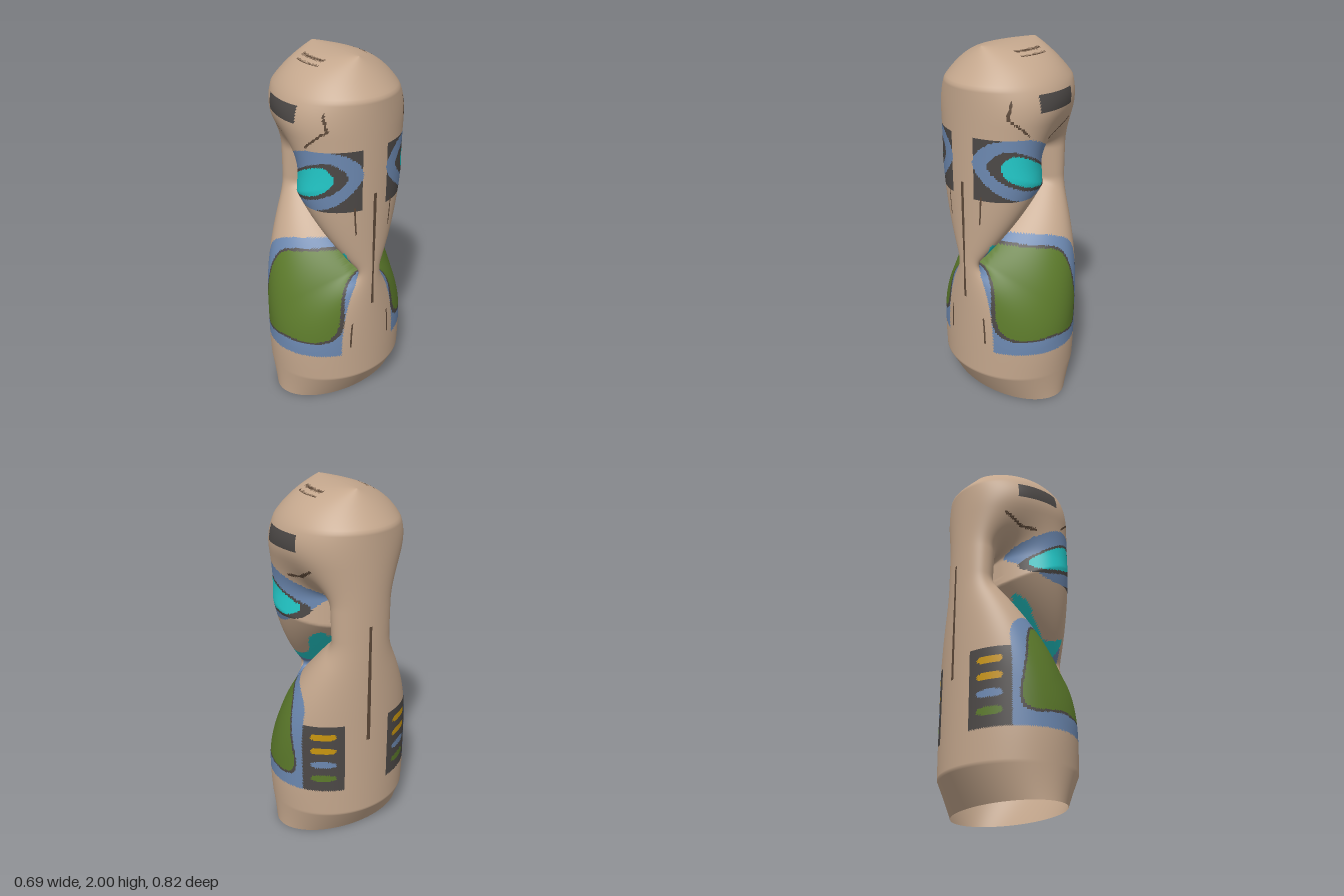
import * as THREE from 'three';

const COLS = 240, ROWS = 170, CAP_ROWS = 36, SLIT_HALF = 0.015;
const { clamp, smoothstep } = THREE.MathUtils;

// Half width: straight flanks, chamfered at foot and crown
const widthAt = (y) => Math.min(0.345, 0.24 + y * 0.6, 0.195 + (2 - y) * 0.87);

// Half depth: slight taper upwards, then an elliptical crown
const depthAt = (y) => y > 1.65
  ? 0.37 * Math.sqrt(Math.max(0, 1 - ((y - 1.65) / 0.35) ** 2))
  : 0.395 + 0.015 * smoothstep(y, 0, 0.35) - 0.04 * smoothstep(y, 0.7, 1.65);

// Bent slit that passes through the body
const bend = new THREE.Vector2(-0.13, 1.24);
const slitEnds = [new THREE.Vector2(-0.12, 1.41), new THREE.Vector2(0.26, 0.85)];
function nearestOnSlit(x, y) {
  const p = new THREE.Vector2(x, y);
  const [q1, q2] = slitEnds.map((end) => {
    const arm = end.clone().sub(bend);
    const t = clamp(p.clone().sub(bend).dot(arm) / arm.lengthSq(), 0, 1);
    return bend.clone().addScaledVector(arm, t);
  });
  const q = q1.distanceTo(p) < q2.distanceTo(p) ? q1 : q2;
  return { q, d: q.distanceTo(p) };
}

// The body swells away from the slit
const swell = (d) => Math.sqrt(1 - (1 - clamp((d - SLIT_HALF) / 0.48, 0, 1)) ** 2);

// Tests for painted regions, as seen from the front
const rect = (x0, x1, y0, y1) => (x, y) => x > x0 && x < x1 && y > y0 && y < y1;
const oval = (cx, cy, rx, ry, n) => (x, y) =>
  Math.abs((x - cx) / rx) ** n + Math.abs((y - cy) / ry) ** n < 1;
const stroke = (x0, y0, x1, y1, w) => (x, y) => {
  const dx = x1 - x0, dy = y1 - y0;
  const t = clamp(((x - x0) * dx + (y - y0) * dy) / (dx * dx + dy * dy), 0, 1);
  return Math.hypot(x - x0 - t * dx, y - y0 - t * dy) < w;
};
// Closed smooth outline, optionally enlarged about a centre
function outline(points, scale = 1, cx = 0, cy = 0) {
  const v = points.map(([x, y]) => new THREE.Vector3(cx + (x - cx) * scale, cy + (y - cy) * scale, 0));
  const poly = new THREE.CatmullRomCurve3(v, true).getPoints(48);
  return (x, y) => {
    let hit = false;
    poly.forEach((a, i) => {
      const b = poly[(i + 1) % poly.length];
      if ((a.y > y) !== (b.y > y) && x < (b.x - a.x) * (y - a.y) / (b.y - a.y) + a.x) hit = !hit;
    });
    return hit;
  };
}

const lens = [[-0.012, 1.36], [0.06, 1.42], [0.24, 1.5], [0.28, 1.44], [0.25, 1.37], [0.13, 1.32], [0.02, 1.32]];
const eyeFrame = [[-0.09, 1.43], [0.06, 1.54], [0.2, 1.585], [0.31, 1.56], [0.338, 1.43], [0.29, 1.3], [0.17, 1.25], [0.03, 1.29]];
const plate = [[-0.14, 0.45], [-0.13, 0.7], [-0.07, 0.89], [0.05, 0.92], [0.2, 0.915], [0.265, 0.78], [0.275, 0.46], [0.06, 0.445]];
const lining = [[-0.04, 1.2], [0.02, 1.165], [0.2, 0.97], [0.28, 0.985], [0.235, 0.875]];

// Belly frame: square below, rounded shoulder at the upper left
const bellyFrame = (x, y) => rect(-0.2, 0.31, 0.345, 0.8)(x, y)
  || (y >= 0.8 && x < 0.305 - (y - 0.8) * 0.15 && oval(0.07, 0.8, 0.27, 0.185, 2.6)(x, y));

// Narrow seam down each flank
const flankSeam = (x, y) => y > 0.65 && y < 1.33 && Math.abs(x) / widthAt(y) > 0.9997;

// Name, colour and test; later regions lie over earlier ones
const regions = [
  ['bodyShell', 'tan', () => true],
  ['eyeSurround', 'charcoal', (x, y) => rect(0.12, 0.338, 1.25, 1.58)(x, y) && (y < 1.33 || x > 0.2)],
  ['eyeFrame', 'slateBlue', outline(eyeFrame)],
  ['eyeRim', 'charcoal', outline(lens, 1.25, 0.14, 1.405)],
  ['eyeLens', 'teal', outline(lens)],
  ['buttonPanel', 'charcoal', rect(-0.325, -0.19, 0.345, 0.77)],
  ['bellyFrame', 'slateBlue', bellyFrame],
  ['bellyRim', 'charcoal', outline(plate, 1.055, 0.07, 0.67)],
  ['bellyPlate', 'olive', outline(plate)],
  ['slitLining', 'teal', outline(lining)],
  ['headVent', 'charcoal', rect(-0.13, 0.12, 1.71, 1.8)],
  ['browSeam', 'brown', stroke(-0.18, 1.615, -0.08, 1.56, 0.007)],
  ['browSeam', 'brown', stroke(-0.08, 1.56, 0, 1.55, 0.007)],
  ['cheekSeam', 'brown', stroke(0.24, 1.77, 0.26, 1.69, 0.005)],
  ['cheekSeam', 'brown', stroke(0.26, 1.69, 0.17, 1.6, 0.005)],
  ['flankSeam', 'brown', flankSeam],
];
// Row of four buttons
['olive', 'slateBlue', 'amber', 'amber'].forEach((colour, i) =>
  regions.push([`${colour}Button`, colour, oval(-0.272, 0.43 + i * 0.09, 0.038, 0.021, 3)]));
// Pair of seams over the crown
for (const y of [1.954, 1.973]) regions.push(['crownSeam', 'brown', rect(-0.09, 0.09, y - 0.003, y + 0.003)]);
// Short upright seams beside the flanks
for (const y of [0.47, 1.19]) regions.push(['sideSeam', 'brown', rect(0.3245, 0.3275, y - 0.08, y + 0.08)]);

export function createModel() {
  const palette = { tan: 0xc4a78d, charcoal: 0x4c4846, slateBlue: 0x6c88b0, olive: 0x5c7a2b, teal: 0x22c8c8, amber: 0xc8950f, brown: 0x5c4838 };
  const materials = {};
  for (const [name, color] of Object.entries(palette)) {
    materials[name] = new THREE.MeshStandardMaterial({ color, side: THREE.DoubleSide });
    materials[name].name = name;
  }

  // Row heights, closer together over the rounded crown
  const heights = [];
  for (let i = 0; i < ROWS; i++) heights.push(1.65 * i / ROWS);
  for (let i = 0; i <= CAP_ROWS; i++) heights.push(1.65 + 0.35 * Math.sin(i / CAP_ROWS * Math.PI / 2));

  // Rings of the shell, open at the bottom, pinched flat along the slit
  const pos = [], cut = [];
  for (const ringY of heights) {
    for (let j = 0; j < COLS; j++) {
      const angle = j / COLS * Math.PI * 2;
      let x = widthAt(ringY) * Math.sin(angle), y = ringY;
      let { d, q } = nearestOnSlit(x, y);
      // Snap nearby points to the slit edge for a clean rim
      if (Math.abs(d - SLIT_HALF) < 0.005) {
        x = q.x + (x - q.x) * SLIT_HALF / d;
        y = q.y + (y - q.y) * SLIT_HALF / d;
        d = SLIT_HALF;
      }
      const across = Math.sqrt(Math.max(0, 1 - (x / widthAt(y)) ** 2));
      pos.push(x, y, Math.sign(Math.cos(angle)) * depthAt(y) * swell(d) * across);
      cut.push(d <= SLIT_HALF);
    }
  }

  // Sort the faces into their painted parts, leaving the slit open
  const parts = new Map(), all = [];
  const addFace = (...corners) => {
    if (corners.every((k) => cut[k])) return;
    const mean = (axis) => corners.reduce((sum, k) => sum + pos[k * 3 + axis], 0) / 3;
    const x = mean(0), y = mean(1);
    const [name, colour] = regions.findLast(([, , covers]) => covers(x, y));
    if (!parts.has(name)) parts.set(name, { colour, index: [] });
    parts.get(name).index.push(...corners);
    all.push(...corners);
  };
  for (let i = 0; i < heights.length - 1; i++) {
    for (let j = 0; j < COLS; j++) {
      const a = i * COLS + j, b = i * COLS + (j + 1) % COLS;
      addFace(a, b, b + COLS);
      addFace(a, b + COLS, a + COLS);
    }
  }

  // Shared smooth normals keep the parts seamless
  const whole = new THREE.BufferGeometry();
  whole.setAttribute('position', new THREE.Float32BufferAttribute(pos, 3));
  whole.setIndex(all);
  whole.computeVertexNormals();

  const group = new THREE.Group();
  group.name = 'paintedCapsule';
  for (const [name, { colour, index }] of parts) {
    const geometry = new THREE.BufferGeometry();
    geometry.setAttribute('position', whole.attributes.position);
    geometry.setAttribute('normal', whole.attributes.normal);
    geometry.setIndex(index);
    const mesh = new THREE.Mesh(geometry, materials[colour]);
    mesh.name = name;
    group.add(mesh);
  }
  return group;
}
